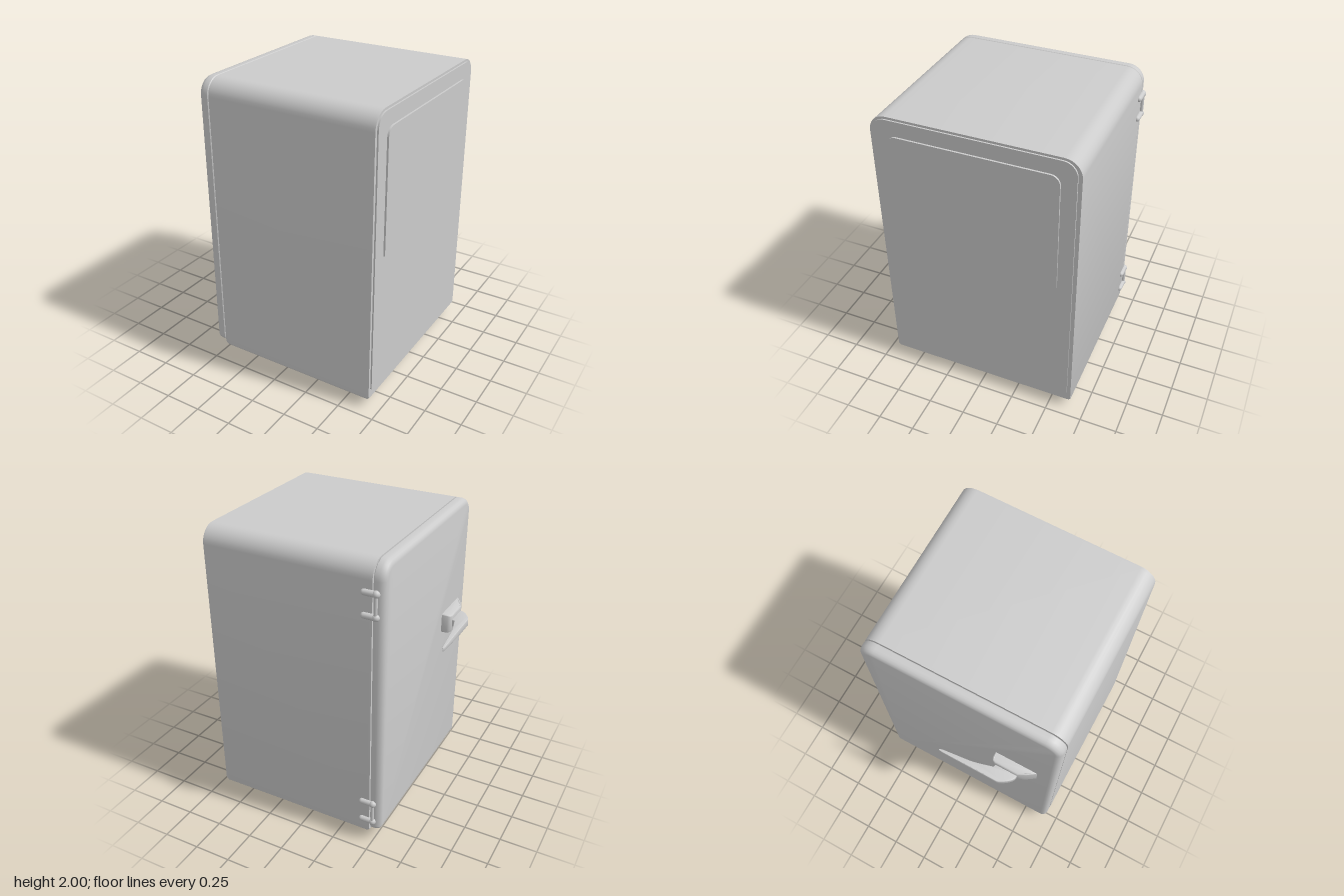
import * as THREE from 'three';
import { toCreasedNormals } from 'three/addons/utils/BufferGeometryUtils.js';

const material = new THREE.MeshStandardMaterial({ color: 0xcccccc });

function add(parent, name, geometry, x = 0, y = 0, z = 0) {
  const mesh = new THREE.Mesh(geometry, material);
  mesh.name = name;
  mesh.position.set(x, y, z);
  parent.add(mesh);
  return mesh;
}

// Rounded rectangle in the z-y plane, counter-clockwise as seen from +x
function ring({ z0, z1, y0, y1, top, bottom }, inset, lift) {
  const a = z0 + inset, b = z1 - inset, c = y0 + inset + lift, d = y1 - inset;
  const rt = Math.max(top - inset, 0.002), rb = Math.max(bottom - inset, 0.002);
  const corners = [
    [a + rb, c + rb, rb, -0.5], [a + rt, d - rt, rt, 0],
    [b - rt, d - rt, rt, 0.5], [b - rb, c + rb, rb, 1],
  ];
  const points = [];
  for (const [z, y, r, start] of corners) {
    for (let i = 0; i <= 8; i++) {
      const t = (start + i / 16) * Math.PI;
      points.push([z - r * Math.cos(t), y + r * Math.sin(t)]);
    }
  }
  return points;
}

// Closed slab lofted along x; each station is [x, inset, lift of the bottom edge]
function slab(profile, stations) {
  const position = [], index = [];
  let n = 0;
  for (const [x, inset, lift = 0] of stations) {
    const points = ring(profile, inset, lift);
    n = points.length;
    for (const [z, y] of points) position.push(x, y, z);
  }
  const last = (stations.length - 1) * n;
  for (let s = 0; s < last; s += n) {
    for (let i = 0; i < n; i++) {
      const j = (i + 1) % n;
      index.push(s + i, s + j, s + n + j, s + i, s + n + j, s + n + i);
    }
  }
  for (let i = 1; i < n - 1; i++) {
    index.push(0, i + 1, i, last, last + i, last + i + 1);
  }
  const geometry = new THREE.BufferGeometry();
  geometry.setAttribute('position', new THREE.Float32BufferAttribute(position, 3));
  geometry.setIndex(index);
  return toCreasedNormals(geometry, 0.7);
}

// Plan outline in x-z raised along y, centred on y = 0; heightAt scales it by x and z
function planSolid(shape, height, bevel, heightAt) {
  const geometry = new THREE.ExtrudeGeometry(shape, {
    depth: height - 2 * bevel, bevelThickness: bevel, bevelSize: bevel,
    bevelOffset: -bevel, bevelSegments: 3, curveSegments: 10,
  });
  geometry.translate(0, 0, bevel - height / 2);
  geometry.rotateX(-Math.PI / 2);
  const p = geometry.attributes.position;
  for (let i = 0; i < p.count; i++) p.setY(i, p.getY(i) * heightAt(p.getX(i), p.getZ(i)));
  return toCreasedNormals(geometry, 0.7);
}

export function createModel() {
  const model = new THREE.Group();
  model.name = 'smallFridge';

  // Cabinet with softened bottom edges
  add(model, 'cabinet', slab(
    { z0: -0.65, z1: 0.67, y0: 0.06, y1: 2, top: 0.11, bottom: 0.02 },
    [[-0.47, 0, 0.015], [-0.455, 0, 0], [0.665, 0, 0], [0.68, 0, 0.015]]));

  // Stepped panels on the rear
  add(model, 'rearPanel', slab(
    { z0: -0.625, z1: 0.65, y0: 0.14, y1: 1.985, top: 0.09, bottom: 0.004 },
    [[0.67, 0], [0.69, 0]]));
  add(model, 'rearUpperPanel', slab(
    { z0: -0.53, z1: 0.55, y0: 1.07, y1: 1.885, top: 0.06, bottom: 0.004 },
    [[0.68, 0], [0.702, 0]]));

  // Door with a rounded outer rim, and the seal behind it
  add(model, 'door', slab(
    { z0: -0.65, z1: 0.67, y0: 0.09, y1: 2, top: 0.11, bottom: 0.035 },
    [[-0.55, 0.04], [-0.547, 0.025], [-0.538, 0.012], [-0.525, 0.004],
      [-0.51, 0], [-0.48, 0], [-0.475, 0.005]]));
  add(model, 'doorSeal', slab(
    { z0: -0.62, z1: 0.64, y0: 0.12, y1: 1.97, top: 0.09, bottom: 0.03 },
    [[-0.48, 0], [-0.465, 0]]));

  // Handle: tapered mount and a swept lever
  const handle = new THREE.Group();
  handle.name = 'handle';
  handle.position.y = 1.226;
  model.add(handle);
  const mount = new THREE.Shape([
    [-0.535, 0.25], [-0.59, 0.252], [-0.605, 0.26], [-0.614, 0.28],
    [-0.614, 0.44], [-0.59, 0.49], [-0.55, 0.548], [-0.535, 0.55],
  ].map(([x, z]) => new THREE.Vector2(x, -z)));
  add(handle, 'handleMount',
    planSolid(mount, 0.136, 0.008, (x) => (x < -0.585 ? 0.88 + (x + 0.614) * 4 : 1)));

  const lever = new THREE.Shape();
  lever.moveTo(-0.608, -0.285);
  lever.lineTo(-0.608, -0.438);
  lever.bezierCurveTo(-0.65, -0.445, -0.685, -0.39, -0.705, -0.345);
  lever.lineTo(-0.705, -0.2);
  lever.lineTo(-0.702, 0.055);
  lever.bezierCurveTo(-0.7, 0.093, -0.69, 0.093, -0.685, 0.055);
  lever.lineTo(-0.667, -0.13);
  lever.bezierCurveTo(-0.655, -0.2, -0.64, -0.24, -0.63, -0.28);
  add(handle, 'handleLever',
    planSolid(lever, 0.052, 0.004, (x, z) => Math.min(1, 0.55 + Math.max(0, z + 0.083) * 1.6)));

  // Two hinges, each with two arms, round knuckles and a pin
  for (const [i, y] of [0.237, 1.742].entries()) {
    const hinge = new THREE.Group();
    hinge.name = i ? 'upperHinge' : 'lowerHinge';
    hinge.position.set(-0.495, y, -0.652);
    model.add(hinge);
    for (const side of [-1, 1]) {
      const arm = new THREE.CapsuleGeometry(0.02, 0.07, 6, 14).rotateZ(Math.PI / 2);
      add(hinge, 'hingeArm', arm, 0.042, side * 0.073, 0);
      add(hinge, 'hingeKnuckle', new THREE.SphereGeometry(0.024, 16, 12), 0, side * 0.073, 0);
    }
    add(hinge, 'hingePin', new THREE.CylinderGeometry(0.012, 0.012, 0.146, 14), 0, 0, -0.005);
  }

  // Four rounded, tapering feet
  const footProfile = [[0, 0], [0.018, 0], [0.026, 0.006], [0.034, 0.03], [0.045, 0.042], [0.045, 0.07]]
    .map(([r, y]) => new THREE.Vector2(r, y));
  const foot = toCreasedNormals(new THREE.LatheGeometry(footProfile, 20), 0.9);
  for (const x of [-0.378, 0.592]) {
    for (const z of [-0.55, 0.575]) add(model, 'foot', foot, x, 0, z);
  }
  return model;
}
